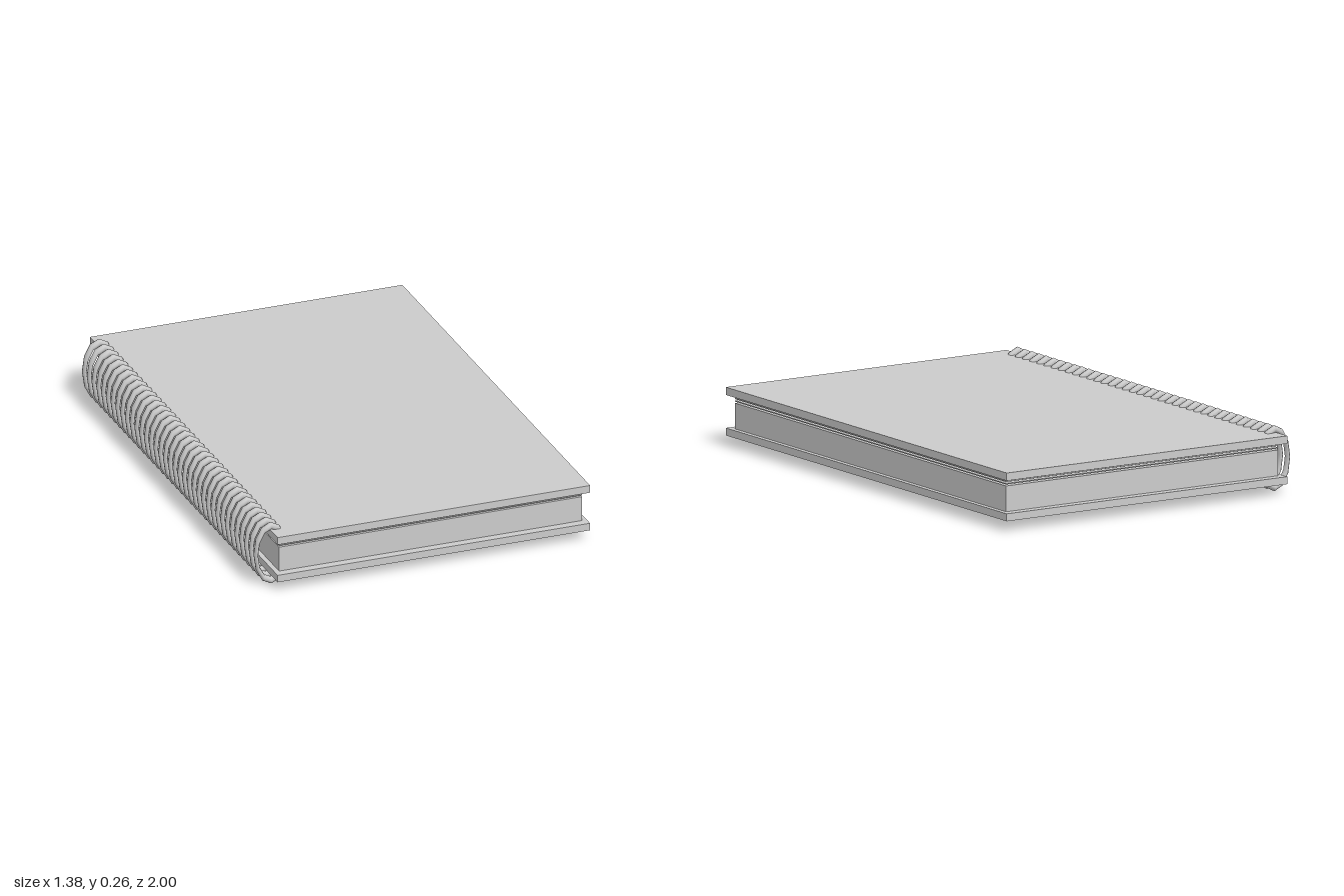
import * as THREE from 'three';

export function createModel() {
  const group = new THREE.Group();
  const material = new THREE.MeshStandardMaterial({ color: 0xcccccc });

  // Box given by its x, y and z limits (z is symmetric)
  function slab(name, x0, x1, y0, y1, halfZ) {
    const mesh = new THREE.Mesh(new THREE.BoxGeometry(x1 - x0, y1 - y0, 2 * halfZ), material);
    mesh.position.set((x0 + x1) / 2, (y0 + y1) / 2, 0);
    mesh.name = name;
    group.add(mesh);
  }

  // Covers
  slab('backCover', -0.625, 0.69, 0.042, 0.072, 1);
  slab('frontCover', -0.625, 0.69, 0.204, 0.235, 1);

  // Page block with loose sheets above it
  slab('pageBlock', -0.605, 0.67, 0.072, 0.175, 0.965);
  [0.183, 0.193].forEach((y, i) => {
    slab('looseSheet' + (i + 1), -0.605, 0.67, y - 0.002, y + 0.002, 0.965);
  });

  // Binding: a row of twelve-sided oval rings along the spine
  const binding = new THREE.Group();
  binding.name = 'ringBinding';
  const ringGeometry = new THREE.TorusGeometry(0.117, 0.0148, 8, 12);
  ringGeometry.scale(0.54, 1, 1);
  const count = 37;
  for (let i = 0; i < count; i++) {
    const ring = new THREE.Mesh(ringGeometry, material);
    ring.name = 'ring' + (i + 1);
    ring.position.set(-0.62, 0.1318, -0.913 + (1.826 * i) / (count - 1));
    binding.add(ring);
  }
  group.add(binding);

  return group;
}
